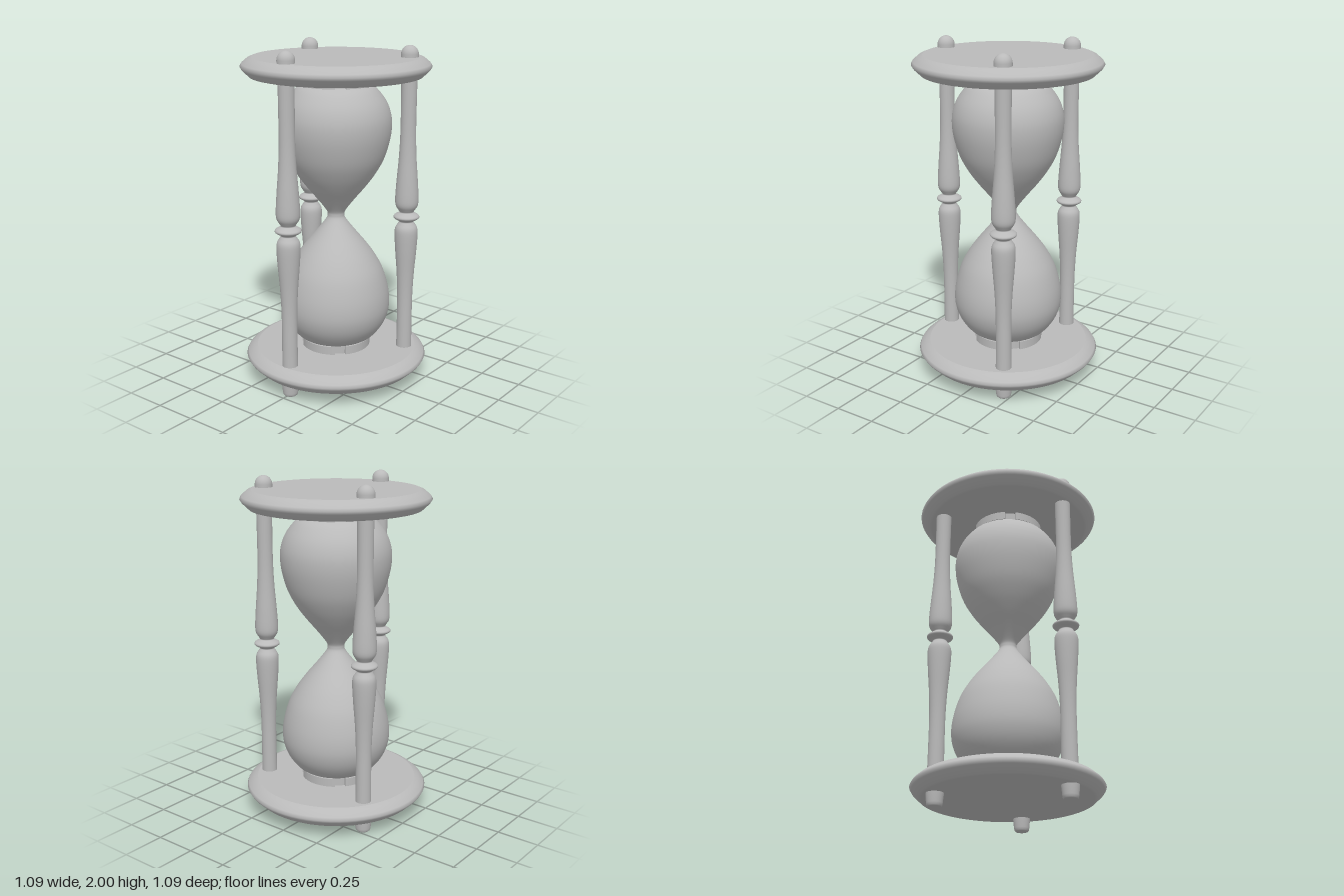
import * as THREE from 'three';

const grey = new THREE.MeshStandardMaterial({ color: 0xbababa });
grey.name = 'plain grey';

const vec = ([r, y]) => new THREE.Vector2(r, y);

// Smooth curve through profile points, from bottom to top
const smooth = (pts, n) => new THREE.SplineCurve(pts.map(vec)).getPoints(n);

function lathe(name, points, segments) {
  const mesh = new THREE.Mesh(new THREE.LatheGeometry(points, segments), grey);
  mesh.name = name;
  return mesh;
}

// Round end plate with a bevelled rim
function plate(name, y) {
  return lathe(name, [
    [0, -0.056], [0.478, -0.056], [0.478, -0.056], [0.495, -0.052], [0.535, -0.014], [0.545, 0.003],
    [0.536, 0.02], [0.505, 0.046], [0.48, 0.056], [0.48, 0.056], [0, 0.056],
  ].map(([r, h]) => vec([r, y + h])), 72);
}

// Collar holding the glass: inner disc plus four raised arc blocks
function collar(name, y) {
  const group = new THREE.Group();
  group.name = name;
  const core = new THREE.Mesh(new THREE.CylinderGeometry(0.188, 0.188, 0.06, 48), grey);
  core.name = 'collarCore';
  group.add(core);
  const half = Math.PI / 5;
  const shape = new THREE.Shape();
  shape.absarc(0, 0, 0.206, -half, half, false);
  shape.absarc(0, 0, 0.17, half, -half, true);
  const arc = new THREE.ExtrudeGeometry(shape, { depth: 0.05, bevelEnabled: false, curveSegments: 16 });
  arc.rotateX(-Math.PI / 2).translate(0, -0.025, 0);
  for (let i = 0; i < 4; i++) {
    const block = new THREE.Mesh(arc, grey);
    block.name = 'collarBlock';
    block.rotation.y = i * Math.PI / 2;
    group.add(block);
  }
  group.position.y = y;
  return group;
}

// Turned post with central ring, rounded finial and tapered foot
function post(x, z) {
  const lower = [
    [0.046, 0.17], [0.045, 0.3], [0.045, 0.5], [0.051, 0.65], [0.062, 0.79],
    [0.068, 0.89], [0.065, 0.935], [0.05, 0.962], [0.042, 0.975],
  ];
  const upper = lower.map(([r, y]) => [r, 2.01 - y]).reverse();
  const ring = [[0.048, 0.982], [0.07, 0.995], [0.076, 1.005], [0.07, 1.015], [0.048, 1.028]];
  const group = new THREE.Group();
  group.name = 'post';
  const foot = [[0, 0], [0.036, 0], [0.042, 0.006], [0.045, 0.02], [0.051, 0.08], [0.051, 0.1]].map(vec);
  const finial = [[0.05, 1.92], [0.05, 1.95]].map(vec);
  for (let i = 1; i <= 8; i++) {
    const a = i / 8 * Math.PI / 2;
    finial.push(vec([i === 8 ? 0 : 0.05 * Math.cos(a), 1.95 + 0.05 * Math.sin(a)]));
  }
  group.add(
    lathe('postFoot', foot, 24),
    lathe('postShaft', smooth([...lower, ...ring, ...upper], 90), 24),
    lathe('postFinial', finial, 24),
  );
  group.position.set(x, 0, z);
  return group;
}

export function createModel() {
  const model = new THREE.Group();
  model.name = 'hourglass';
  model.add(plate('bottomPlate', 0.131), plate('topPlate', 1.877));
  model.add(collar('bottomCollar', 0.212), collar('topCollar', 1.797));

  // Two mirrored bulbs meeting at the narrow neck
  const half = [
    [0.19, 0.235], [0.235, 0.262], [0.285, 0.325], [0.313, 0.39], [0.323, 0.46], [0.314, 0.55],
    [0.282, 0.66], [0.234, 0.75], [0.18, 0.825], [0.122, 0.895], [0.078, 0.95], [0.054, 0.985],
  ];
  const glass = [...half, [0.05, 1.005], ...half.map(([r, y]) => [r, 2.01 - y]).reverse()];
  model.add(lathe('glassBulbs', [vec([0, 0.235]), ...smooth(glass, 96), vec([0, 1.775])], 64));

  // Three posts spaced evenly around the glass
  for (let i = 0; i < 3; i++) {
    const a = Math.PI + i * Math.PI * 2 / 3;
    model.add(post(0.428 * Math.cos(a) - 0.006, 0.428 * Math.sin(a) * 0.975));
  }
  return model;
}
